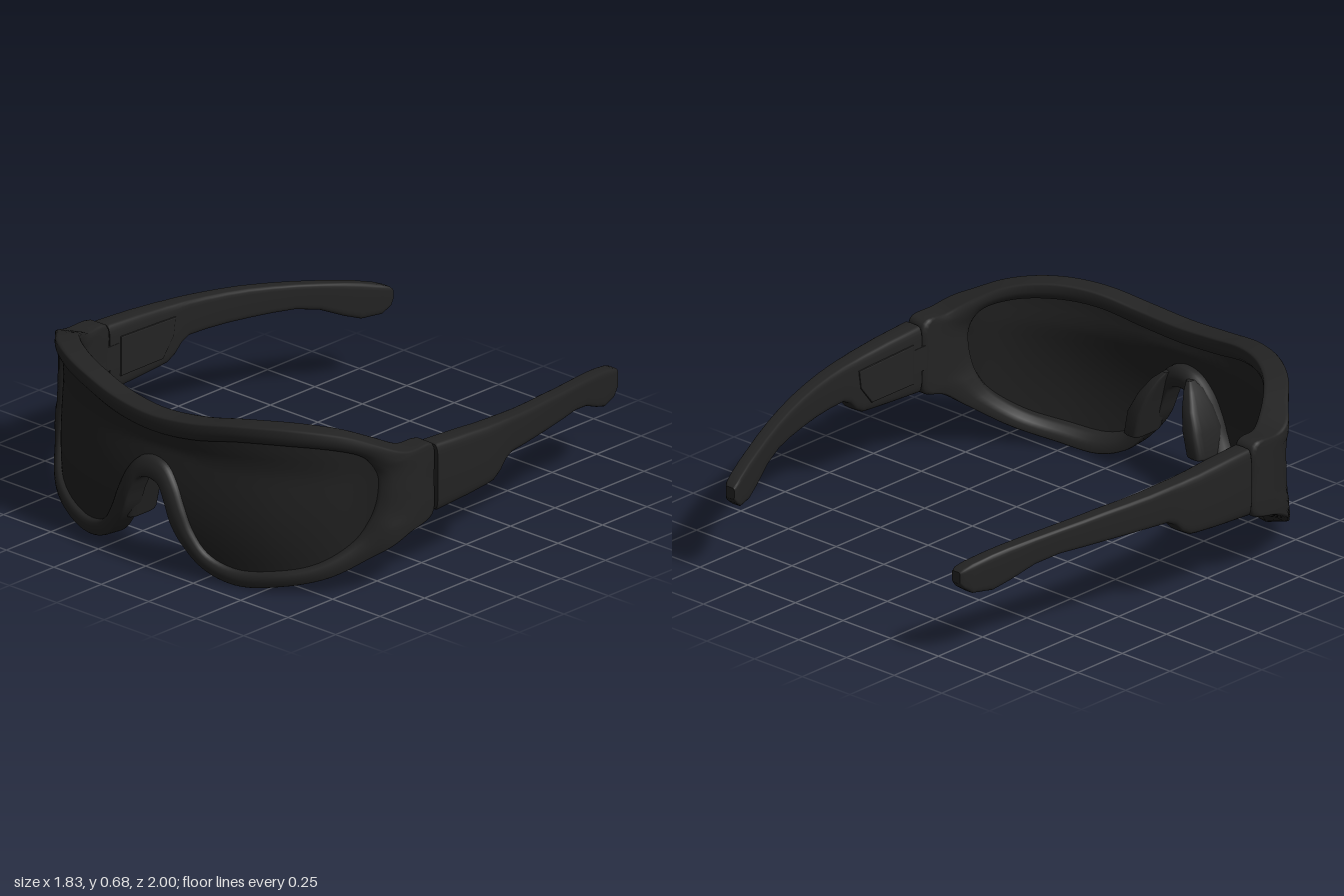
import * as THREE from 'three';

const frameMat = new THREE.MeshStandardMaterial({ color: 0x232323 });
frameMat.name = 'matte black frame';
const lensMat = new THREE.MeshStandardMaterial({ color: 0x202020, side: THREE.DoubleSide });
lensMat.name = 'dark lens';

const V = (x, y, z) => new THREE.Vector3(x, y, z);

// Wrap-around plan curve, seen from above; s is the distance from the middle
const HALF = 1.165;
const planHalf = [[0.3, 0.89], [0.5, 0.825], [0.68, 0.71], [0.8, 0.57], [0.855, 0.45], [0.864, 0.335]];
const plan = new THREE.CatmullRomCurve3([
  ...planHalf.map(([x, z]) => V(-x, 0, z)).reverse(),
  V(0, 0, 0.92),
  ...planHalf.map(([x, z]) => V(x, 0, z)),
]);
plan.arcLengthDivisions = 800;

// Place a point (s, y) on the wrap, pushed outward by off
function wrap(s, y, off) {
  const u = THREE.MathUtils.clamp(0.5 + s / (2 * HALF), 0, 1);
  const p = plan.getPointAt(u), t = plan.getTangentAt(u), a = Math.abs(s);
  // middle height bulges forward and the brow a little, fading out toward the hinges
  const bulge = 0.038 * Math.sin(Math.PI * THREE.MathUtils.clamp(y / 0.5, 0, 1));
  const brow = 0.014 * THREE.MathUtils.clamp((y - 0.48) / 0.08, 0, 1);
  const lean = (bulge + brow) * (1 - THREE.MathUtils.smoothstep(a, 0.5, 1));
  const corner = off > 0 ? 0.026 * Math.exp(-(((a - 0.98) / 0.08) ** 2)) : 0;
  const d = off + corner;
  return V(p.x - t.z * d, y, p.z + t.x * d + lean);
}

// Skin a list of closed loops; either joined end to end or capped
function loft(loops, joined) {
  const n = loops[0].length, m = loops.length, pos = [], idx = [];
  loops.forEach(l => l.forEach(p => pos.push(p.x, p.y, p.z)));
  for (let i = 0; i < (joined ? m : m - 1); i++) {
    for (let j = 0; j < n; j++) {
      const a = i * n + j, b = i * n + (j + 1) % n;
      const c = ((i + 1) % m) * n + j, d = ((i + 1) % m) * n + (j + 1) % n;
      idx.push(a, b, c, b, d, c);
    }
  }
  if (!joined) {
    [loops[0], loops[m - 1]].forEach((l, e) => {
      const base = pos.length / 3;
      const mid = l.reduce((q, p) => q.add(p), V(0, 0, 0)).divideScalar(n);
      [...l, mid].forEach(p => pos.push(p.x, p.y, p.z));
      for (let j = 0; j < n; j++) {
        const a = base + j, b = base + (j + 1) % n;
        idx.push(...(e ? [a, b, base + n] : [b, a, base + n]));
      }
    });
  }
  // turn faces outward when the signed volume is negative
  const at = i => V(pos[3 * i], pos[3 * i + 1], pos[3 * i + 2]);
  let vol = 0;
  for (let i = 0; i < idx.length; i += 3) vol += at(idx[i]).dot(at(idx[i + 1]).cross(at(idx[i + 2])));
  if (vol < 0) idx.reverse();
  const g = new THREE.BufferGeometry();
  g.setAttribute('position', new THREE.Float32BufferAttribute(pos, 3));
  g.setIndex(idx);
  g.computeVertexNormals();
  return g;
}

// Rounded-rectangle loop
function roundLoop(place, power = 0.5, n = 24) {
  const f = v => Math.sign(v) * Math.abs(v) ** power;
  return Array.from({ length: n }, (_, i) => {
    const a = (i / n) * Math.PI * 2;
    return place(f(Math.cos(a)), f(Math.sin(a)));
  });
}

// Rim outline, top middle to nose middle: outer s, y, inner s, y
const rim = [
  [0, 0.63, 0, 0.55], [0.2, 0.645, 0.2, 0.565], [0.4, 0.675, 0.4, 0.6], [0.6, 0.685, 0.58, 0.61],
  [0.78, 0.665, 0.75, 0.6], [0.92, 0.62, 0.86, 0.57], [1.03, 0.58, 0.9, 0.53], [1.157, 0.57, 0.92, 0.48],
  [1.165, 0.43, 0.92, 0.42], [1.157, 0.28, 0.91, 0.36], [1.04, 0.24, 0.89, 0.3], [0.94, 0.18, 0.84, 0.22],
  [0.76, 0.08, 0.71, 0.13], [0.57, 0.027, 0.54, 0.085], [0.38, 0.003, 0.38, 0.07], [0.25, 0.045, 0.27, 0.11],
  [0.165, 0.13, 0.21, 0.19], [0.12, 0.2, 0.17, 0.28], [0.085, 0.29, 0.125, 0.37], [0.05, 0.35, 0.07, 0.43],
  [0, 0.365, 0, 0.45],
];
// Rim section: fraction from outer to inner edge, offset
const rimSection = [
  [0, 0.03], [0.03, 0.04], [0.1, 0.045], [0.4, 0.046], [0.6, 0.044], [0.8, 0.038], [0.95, 0.028], [1, 0.01],
  [1, -0.015], [0.93, -0.03], [0.7, -0.046], [0.45, -0.052], [0.1, -0.052], [0.03, -0.047], [0, -0.036],
];

function rimGeometry() {
  const all = [...rim, ...rim.slice(1, -1).reverse().map(([a, b, c, d]) => [-a, b, -c, d])];
  const outer = new THREE.CatmullRomCurve3(all.map(p => V(p[0], p[1], 0)), true);
  const inner = new THREE.CatmullRomCurve3(all.map(p => V(p[2], p[3], 0)), true);
  const N = 240;
  return loft(Array.from({ length: N }, (_, i) => {
    const o = outer.getPoint(i / N), q = inner.getPoint(i / N);
    return rimSection.map(([f, off]) => {
      const p = o.clone().lerp(q, f);
      return wrap(p.x, p.y, off);
    });
  }), true);
}

// One-piece lens made of columns between the rim's inner edges
function lensGeometry() {
  const top = rim.slice(0, 8).map(p => [p[2], p[3]]);
  const bottom = rim.slice(9).reverse().map(p => [p[2], p[3]]);
  const read = (table, s) => {
    for (let i = 1; i < table.length; i++) {
      const [a, ya] = table[i - 1], [b, yb] = table[i];
      if (s <= b) return ya + (yb - ya) * (s - a) / (b - a);
    }
    return table[table.length - 1][1];
  };
  const g = new THREE.PlaneGeometry(1.85, 1, 120, 14), p = g.attributes.position;
  for (let i = 0; i < p.count; i++) {
    const s = p.getX(i), a = Math.abs(s);
    const y = THREE.MathUtils.lerp(read(bottom, a) - 0.015, read(top, a) + 0.015, p.getY(i) + 0.5);
    const w = wrap(s, y, 0.015);
    p.setXYZ(i, w.x, w.y, w.z);
  }
  g.computeVertexNormals();
  return g;
}

// Temple arm stations: z, x, half width, top y, bottom y
const armStations = [
  [0.328, 0.864, 0.046, 0.56, 0.29], [0.322, 0.864, 0.05, 0.566, 0.284], [0.15, 0.863, 0.049, 0.556, 0.294],
  [0.04, 0.861, 0.046, 0.547, 0.302], [0, 0.859, 0.045, 0.545, 0.307], [-0.04, 0.856, 0.043, 0.541, 0.33],
  [-0.075, 0.853, 0.042, 0.539, 0.368], [-0.115, 0.85, 0.04, 0.536, 0.388], [-0.2, 0.839, 0.038, 0.529, 0.39],
  [-0.3, 0.82, 0.036, 0.521, 0.39], [-0.4, 0.796, 0.035, 0.512, 0.388], [-0.5, 0.769, 0.034, 0.499, 0.385],
  [-0.6, 0.737, 0.033, 0.485, 0.38], [-0.7, 0.702, 0.033, 0.469, 0.358], [-0.8, 0.665, 0.033, 0.451, 0.312],
  [-0.87, 0.64, 0.033, 0.436, 0.286], [-0.95, 0.61, 0.033, 0.413, 0.29], [-0.985, 0.597, 0.031, 0.398, 0.316],
  [-1, 0.592, 0.022, 0.385, 0.338],
];
// Nose pad stations: y, x, z, half width, half depth
const padStations = [
  [0.145, 0.165, 0.87, 0.034, 0.07], [0.155, 0.165, 0.87, 0.04, 0.08], [0.25, 0.145, 0.872, 0.042, 0.083],
  [0.33, 0.115, 0.88, 0.034, 0.068], [0.39, 0.085, 0.89, 0.024, 0.042], [0.42, 0.062, 0.9, 0.012, 0.02],
];

export function createModel() {
  const model = new THREE.Group();
  model.name = 'sunglasses';
  const add = (name, geometry, material = frameMat) => {
    const mesh = new THREE.Mesh(geometry, material);
    mesh.name = name;
    model.add(mesh);
    return mesh;
  };

  add('frontFrame', rimGeometry());
  add('lens', lensGeometry(), lensMat);

  // Raised panel on the inside of each arm, in z and y
  const panel = new THREE.Shape([[0.27, 0.5], [0.27, 0.345], [0.04, 0.345], [-0.02, 0.42], [-0.03, 0.49]]
    .map(([z, y]) => new THREE.Vector2(-z, y)));
  const panelGeo = new THREE.ExtrudeGeometry(panel, { depth: 0.012, bevelSize: 0.005, bevelThickness: 0.005, bevelSegments: 2 });
  panelGeo.rotateY(Math.PI / 2);

  for (const [side, k] of [['left', 1], ['right', -1]]) {
    add(side + 'Temple', loft(armStations.map(([z, x, w, t, b]) =>
      roundLoop((u, v) => V(k * (x + w * u), (t + b) / 2 + v * (t - b) / 2, z), 0.35))));
    add(side + 'NosePad', loft(padStations.map(([y, x, z, w, d]) =>
      roundLoop((u, v) => V(k * (x + w * u), y, z + d * v), 0.5))));
    add(side + 'InnerPanel', panelGeo).position.x = k > 0 ? 0.814 : -0.826;
    // Hinge block bridging the seam on the inside
    add(side + 'Hinge', new THREE.BoxGeometry(0.03, 0.1, 0.12)).position.set(k * 0.828, 0.43, 0.34);
  }
  return model;
}
